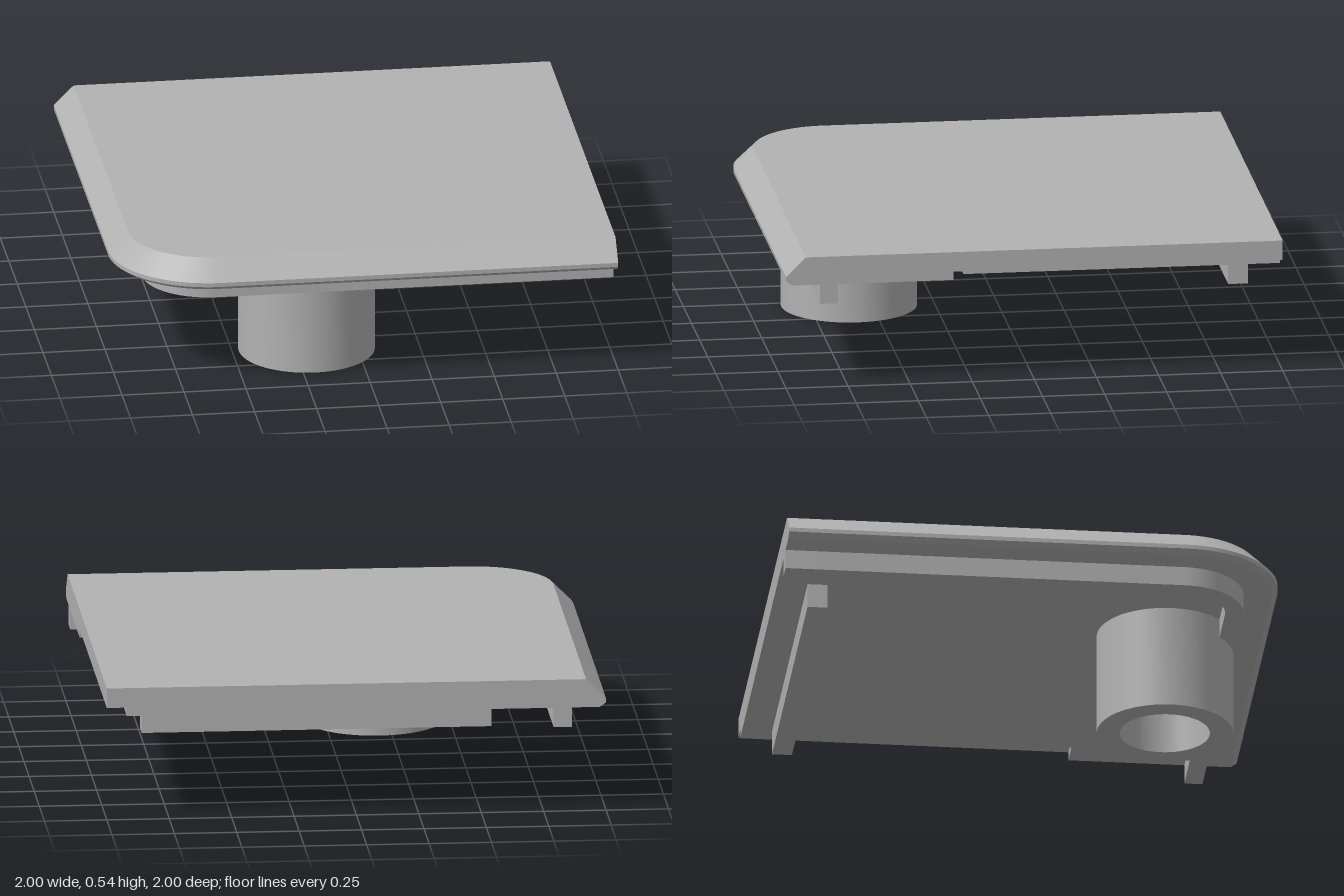
import * as THREE from 'three';
import { toCreasedNormals } from 'three/addons/utils/BufferGeometryUtils.js';

const grey = new THREE.MeshStandardMaterial({ color: 0xb2b2b2 });
grey.name = 'grey';

// Open path along the left and front edges, inset by d, around the rounded corner
function edgePath(d) {
  const pts = [[-1 + d, -1]];
  const n = 20, c = 0.6, r = 0.4 - d;
  for (let i = 0; i <= n; i++) {
    const a = (i / n) * Math.PI / 2;
    pts.push([-c - r * Math.cos(a), c + r * Math.sin(a)]);
  }
  pts.push([1, 1 - d]);
  return pts;
}

// Solid lofted through stacked closed outlines: sections = [{ y, pts }], bottom to top
function loft(sections) {
  const pos = [];
  const put = (s, i) => pos.push(s.pts[i][0], s.y, s.pts[i][1]);
  for (let k = 0; k + 1 < sections.length; k++) {
    const lo = sections[k], hi = sections[k + 1], n = lo.pts.length;
    for (let i = 0; i < n; i++) {
      const j = (i + 1) % n;
      put(lo, i); put(lo, j); put(hi, j);
      put(lo, i); put(hi, j); put(hi, i);
    }
  }
  const cap = (s, up) => {
    const flat = s.pts.map(([x, z]) => new THREE.Vector2(x, -z));
    for (const [a, b, c] of THREE.ShapeUtils.triangulateShape(flat, [])) {
      for (const i of up ? [a, b, c] : [a, c, b]) put(s, i);
    }
  };
  cap(sections[0], false);
  cap(sections[sections.length - 1], true);
  const g = new THREE.BufferGeometry();
  g.setAttribute('position', new THREE.Float32BufferAttribute(pos, 3));
  return toCreasedNormals(g, 0.5);
}

export function createModel() {
  const model = new THREE.Group();
  const add = (name, geometry) => {
    const mesh = new THREE.Mesh(geometry, grey);
    mesh.name = name;
    model.add(mesh);
    return mesh;
  };

  // Upper plate with the wide bevel
  const full = (d) => [...edgePath(d), [1, -1]];
  add('plateTop', loft([
    { y: 0.46, pts: full(0) },
    { y: 0.54, pts: full(0.08) },
  ]));

  // Lower plate with a small bevel and a rebate along the right edge
  const rebated = (d) => [...edgePath(d),
    [1, 0.325], [0.88, 0.325], [0.88, 0.275], [0.92, 0.275], [0.92, -1]];
  add('plateBottom', loft([
    { y: 0.425, pts: rebated(0.025) },
    { y: 0.443, pts: rebated(0) },
    { y: 0.46, pts: rebated(0) },
  ]));

  // Rim rib under the plate, following the rounded corner
  const rib = [...edgePath(0.137), ...edgePath(0.21).reverse()];
  add('rimRib', loft([{ y: 0.345, pts: rib }, { y: 0.425, pts: rib }]));

  // Straight bar near the back
  add('backBar', new THREE.BoxGeometry(1.4, 0.1, 0.08)).position.set(0.15, 0.375, -0.84);

  // Hollow round post
  const profile = [[0.18, 0.425], [0.18, 0], [0.273, 0], [0.273, 0.425]]
    .map(([x, y]) => new THREE.Vector2(x, y));
  add('post', toCreasedNormals(new THREE.LatheGeometry(profile, 64), 0.5))
    .position.set(-0.2, 0, 0.59);

  return model;
}
